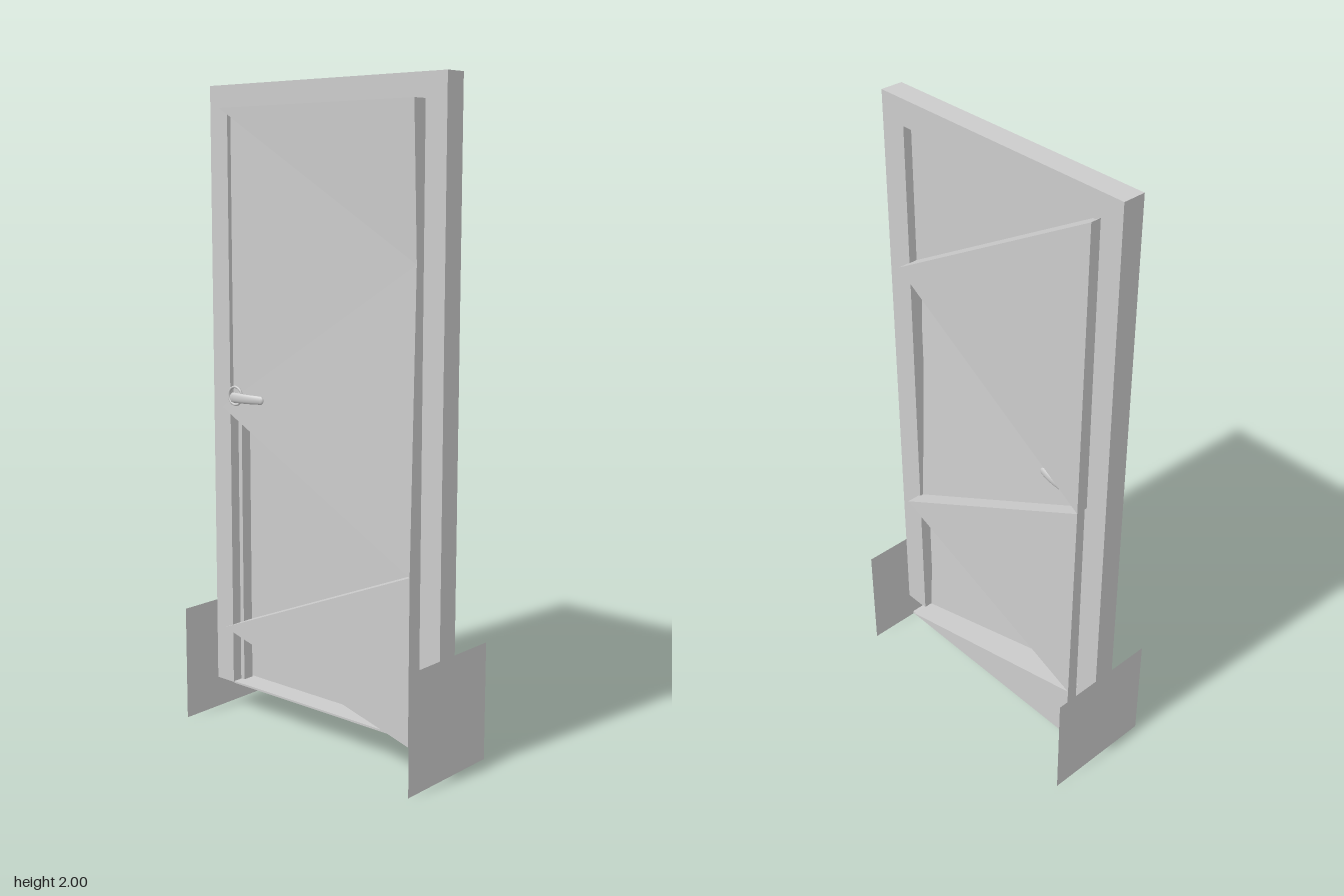
import * as THREE from 'three';

export function createModel() {
  const model = new THREE.Group();
  const grey = new THREE.MeshStandardMaterial({ color: 0xcccccc, flatShading: true });
  const thin = new THREE.MeshStandardMaterial({ color: 0xcccccc, flatShading: true, side: THREE.DoubleSide });
  const smooth = new THREE.MeshStandardMaterial({ color: 0xcccccc });

  const add = (name, geometry, material = grey, parent = model) => {
    const mesh = new THREE.Mesh(geometry, material);
    mesh.name = name;
    parent.add(mesh);
    return mesh;
  };
  const fromTriangles = (points) => {
    const g = new THREE.BufferGeometry();
    g.setAttribute('position', new THREE.Float32BufferAttribute(points.flat(), 3));
    g.computeVertexNormals();
    return g;
  };

  // Door frame: two U-shaped layers, the rear one with a narrower opening (rebate)
  const frameLayer = (name, w, top, z, depth) => {
    const outline = new THREE.Shape();
    [[-0.455, 0.1], [-w, 0.1], [-w, top], [w, top], [w, 0.1], [0.455, 0.1], [0.455, 2], [-0.455, 2]]
      .forEach(([x, y], i) => (i ? outline.lineTo(x, y) : outline.moveTo(x, y)));
    add(name, new THREE.ExtrudeGeometry(outline, { depth, bevelEnabled: false }).translate(0, 0, z));
  };
  frameLayer('frameFront', 0.382, 1.93, 0.01, 0.034);
  frameLayer('frameBack', 0.367, 1.92, -0.027, 0.037);

  // Sill and side plates
  for (const s of [-1, 1]) {
    add('sidePlate', new THREE.PlaneGeometry(0.365, 0.365).rotateY(Math.PI / 2).translate(s * 0.455, 0.1825, 0), thin);
  }
  add('sill', new THREE.BoxGeometry(0.76, 0.006, 0.115).translate(0, 0.1, -0.0145));

  // Fold points: x, y, depth of the front skin, depth of the back skin
  const L = -0.382, R = 0.378;
  const folds = [
    [L, 1.93, 0.078, -0.06],
    [R, 1.485, 0.07, -0.06],
    [L, 1.015, 0.08, -0.065],
    [R, 0.605, 0.088, -0.07],
    [L, 0.295, 0.08, -0.072],
    [R, 0.1, 0.088, -0.075],
  ];
  const strip = [[R, 1.93, 0.088, -0.06], ...folds, [L, 0.1, 0.08, -0.075]];

  // Depth of each plate's hidden skin at its three corners, top to bottom
  const inner = [
    [0, 0, 0],
    [0.03, 0.03, 0.03],
    [0.03, -0.02, -0.015],
    [-0.035, -0.035, -0.035],
    [0.03, 0.03, 0],
    [-0.035, -0.035, -0.035],
  ];

  // Triangular plate between its outer and hidden skins
  const plate = (corners, isFront, depths) => {
    let ring = corners.map(([x, y, front, back], i) =>
      isFront ? [x, y, front, depths[i]] : [x, y, depths[i], back]);
    const [a, b, c] = ring;
    const area = (b[0] - a[0]) * (c[1] - a[1]) - (b[1] - a[1]) * (c[0] - a[0]);
    if (area < 0) ring = [a, c, b];
    const front = ring.map((p) => [p[0], p[1], p[2]]);
    const back = ring.map((p) => [p[0], p[1], p[3]]);
    const tris = [...front, back[0], back[2], back[1]];
    for (let i = 0; i < 3; i++) {
      const j = (i + 1) % 3;
      tris.push(front[i], back[i], back[j], front[i], back[j], front[j]);
    }
    return fromTriangles(tris);
  };

  // Leaf: plates alternate between the front and the back
  const leaf = new THREE.Group();
  leaf.name = 'foldedLeaf';
  model.add(leaf);
  inner.forEach((depths, i) => {
    const isFront = i % 2 === 0;
    add(isFront ? 'frontPanel' : 'backPanel', plate(strip.slice(i, i + 3), isFront, depths), grey, leaf);
  });

  // Webs joining the plates where a gap remains along the lower folds
  for (let i = 2; i + 1 < folds.length; i++) {
    const [p, q] = [folds[i], folds[i + 1]];
    const [a, b, c, d] = [[p, 2], [p, 3], [q, 3], [q, 2]].map(([v, k]) => [v[0], v[1], v[k]]);
    add('foldWeb', fromTriangles([a, b, c, a, c, d]), thin, leaf);
  }

  // Lever handles on both faces
  const handle = (name, z, out, stem) => {
    const g = new THREE.Group();
    g.name = name;
    model.add(g);
    const ring = new THREE.TorusGeometry(0.028, 0.004, 8, 28);
    add('rosette', ring.translate(-0.322, 1.055, z), smooth, g);
    const neck = new THREE.CylinderGeometry(0.014, 0.014, stem, 16).rotateX(Math.PI / 2);
    add('neck', neck.translate(-0.318, 1.05, z + out * (0.013 - stem / 2)), smooth, g);
    const path = new THREE.CatmullRomCurve3([[-0.318, 0.011], [-0.28, 0.012], [-0.245, 0.009], [-0.212, 0.002]]
      .map(([x, d]) => new THREE.Vector3(x, 1.051, z + out * d)));
    const radius = 0.016;
    const lever = new THREE.TubeGeometry(path, 20, radius, 12);
    const pos = lever.attributes.position;
    for (let i = 0; i < pos.count; i++) {
      // flatten the grip in depth and taper it to the tip
      const t = Math.floor(i / 13) / 20;
      const p = path.getPointAt(t);
      const taper = 1 - 0.2 * t;
      pos.setY(i, p.y + (pos.getY(i) - p.y) * taper);
      pos.setZ(i, p.z + (pos.getZ(i) - p.z) * 0.45 * taper);
    }
    lever.computeVertexNormals();
    add('lever', lever, smooth, g);
    for (const t of [0, 1]) {
      const r = radius * (1 - 0.2 * t);
      const p = path.getPointAt(t);
      add('leverEnd', new THREE.SphereGeometry(r, 14, 10).scale(1, 1, 0.45).translate(p.x, p.y, p.z), smooth, g);
    }
  };
  handle('frontHandle', 0.081, 1, 0.03);
  handle('backHandle', -0.03, -1, 0.05);

  return model;
}
